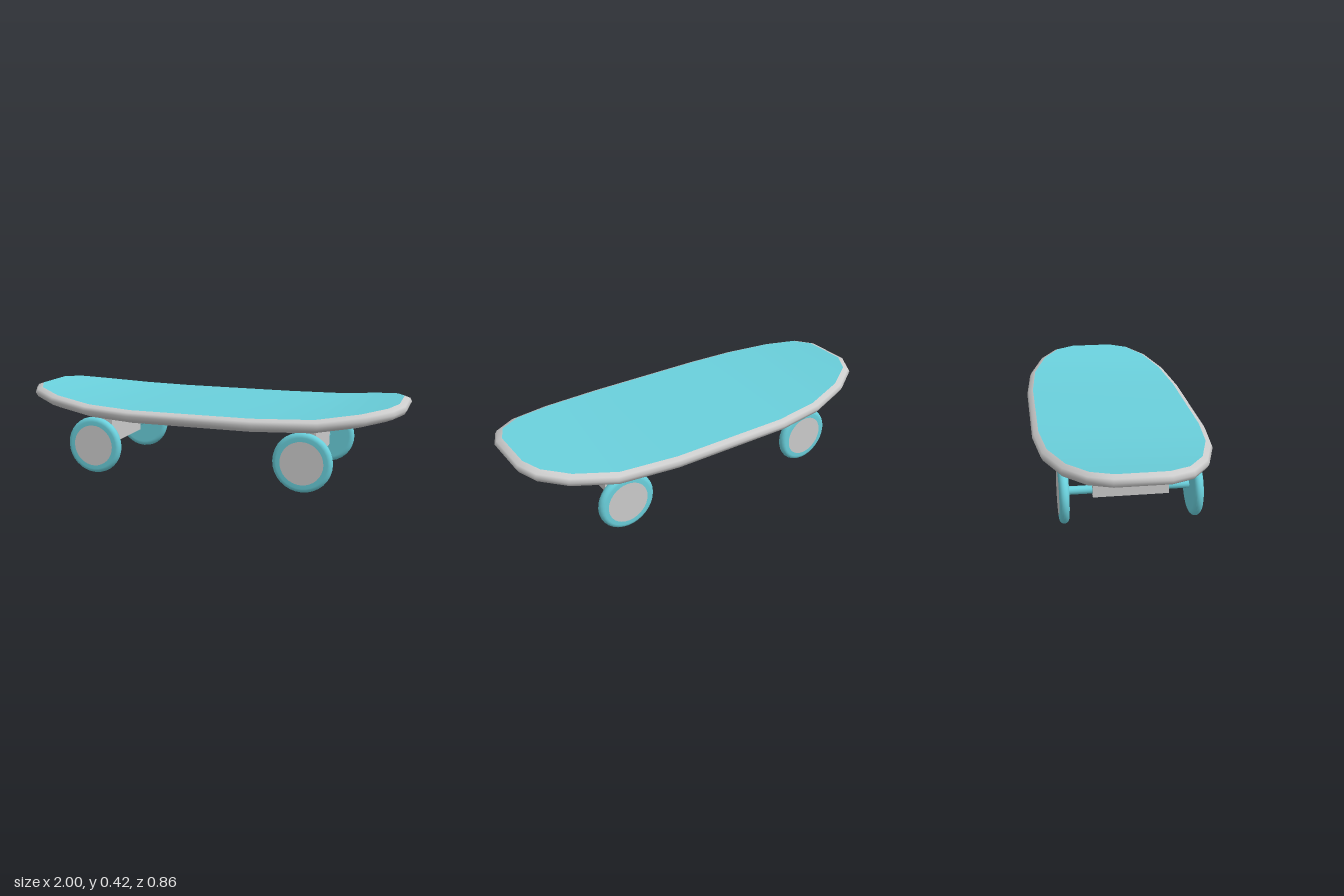
import * as THREE from 'three';

const teal = new THREE.MeshStandardMaterial({ color: 0x6ad0dc });
const grey = new THREE.MeshStandardMaterial({ color: 0xcccccc });

// Deck stations from end to end: x, half width, rise of the curved ends
const stations = [
  [-1, 0.125, 0.06], [-0.945, 0.23, 0.052], [-0.8, 0.325, 0.031], [-0.57, 0.4, 0.009], [-0.32, 0.428, 0],
  [0.32, 0.428, 0], [0.63, 0.4, 0.009], [0.84, 0.325, 0.035], [0.957, 0.23, 0.053], [1, 0.125, 0.06],
];
const N = stations.length;

// One closed outline, shrunk by an inset, at a base height
function ring(inset, y) {
  const front = stations.map(([x, w, rise]) => [x * (1 - inset), y + rise, w * (1 - 2 * inset)]);
  const back = front.map(([x, h, z]) => [x, h, -z]).reverse();
  return [...front, ...back];
}

function surface(points, index) {
  const g = new THREE.BufferGeometry();
  g.setAttribute('position', new THREE.Float32BufferAttribute(points.flat(), 3));
  g.setIndex(index);
  g.computeVertexNormals();
  return g;
}

// Rounded edge band running through several outlines
function band(rings) {
  const index = [], M = 2 * N;
  for (let k = 0; k < rings.length - 1; k++) {
    for (let j = 0; j < M; j++) {
      const a = k * M + j, d = k * M + (j + 1) % M;
      index.push(a, a + M, d + M, a, d + M, d);
    }
  }
  return surface(rings.flat(), index);
}

// Curved plate filling an outline with strips across the deck
function plate(outline, facingUp) {
  const index = [];
  for (let i = 0; i < N - 1; i++) {
    const a = i, b = i + 1, c = 2 * N - 2 - i, d = 2 * N - 1 - i;
    index.push(...(facingUp ? [a, b, c, a, c, d] : [a, c, b, a, d, c]));
  }
  return surface(outline, index);
}

function add(parent, name, geometry, material, x = 0, y = 0, z = 0) {
  const mesh = new THREE.Mesh(geometry, material);
  mesh.name = name;
  mesh.position.set(x, y, z);
  parent.add(mesh);
  return mesh;
}

// Wheel: a disc with a rounded tread and a flat outer cap, facing +z
function createWheel() {
  const wheel = new THREE.Group();
  const profile = [new THREE.Vector2(0, -0.022), new THREE.Vector2(0.12, -0.022)];
  for (let i = 0; i <= 8; i++) {
    const a = -Math.PI / 2 + (i / 8) * Math.PI;
    profile.push(new THREE.Vector2(0.125 + 0.022 * Math.cos(a), 0.022 * Math.sin(a)));
  }
  profile.push(new THREE.Vector2(0.105, 0.022), new THREE.Vector2(0, 0.022));
  add(wheel, 'tyre', new THREE.LatheGeometry(profile, 32).rotateX(Math.PI / 2), teal);
  add(wheel, 'wheelCap', new THREE.CircleGeometry(0.106, 32), grey, 0, 0, 0.0235);
  return wheel;
}

export function createModel() {
  const model = new THREE.Group();
  model.name = 'skateboard';

  // Deck
  const deck = new THREE.Group();
  deck.name = 'deck';
  model.add(deck);
  const top = ring(0.037, 0.363), bottom = ring(0.05, 0.297);
  add(deck, 'deckEdge', band([top, ring(0.01, 0.353), ring(0, 0.336), ring(0.012, 0.314), bottom]), grey);
  add(deck, 'deckTop', plate(top, true), teal);
  add(deck, 'deckUnderside', plate(bottom, false), teal);

  // Trucks with axles and wheels
  for (const x of [-0.55, 0.545]) {
    const truck = new THREE.Group();
    truck.name = 'truck';
    truck.position.x = x;
    model.add(truck);
    add(truck, 'truckBlock', new THREE.BoxGeometry(0.075, 0.178, 0.36), grey, 0, 0.22, 0.015);
    add(truck, 'axle', new THREE.CylinderGeometry(0.02, 0.02, 0.6, 16).rotateX(Math.PI / 2), teal, 0, 0.156, 0.008);
    const left = createWheel(), right = createWheel();
    left.name = 'frontWheel';
    left.position.set(0, 0.15, 0.318);
    right.name = 'backWheel';
    right.position.set(0, 0.15, -0.302);
    right.rotation.y = Math.PI;
    truck.add(left, right);
  }
  return model;
}
